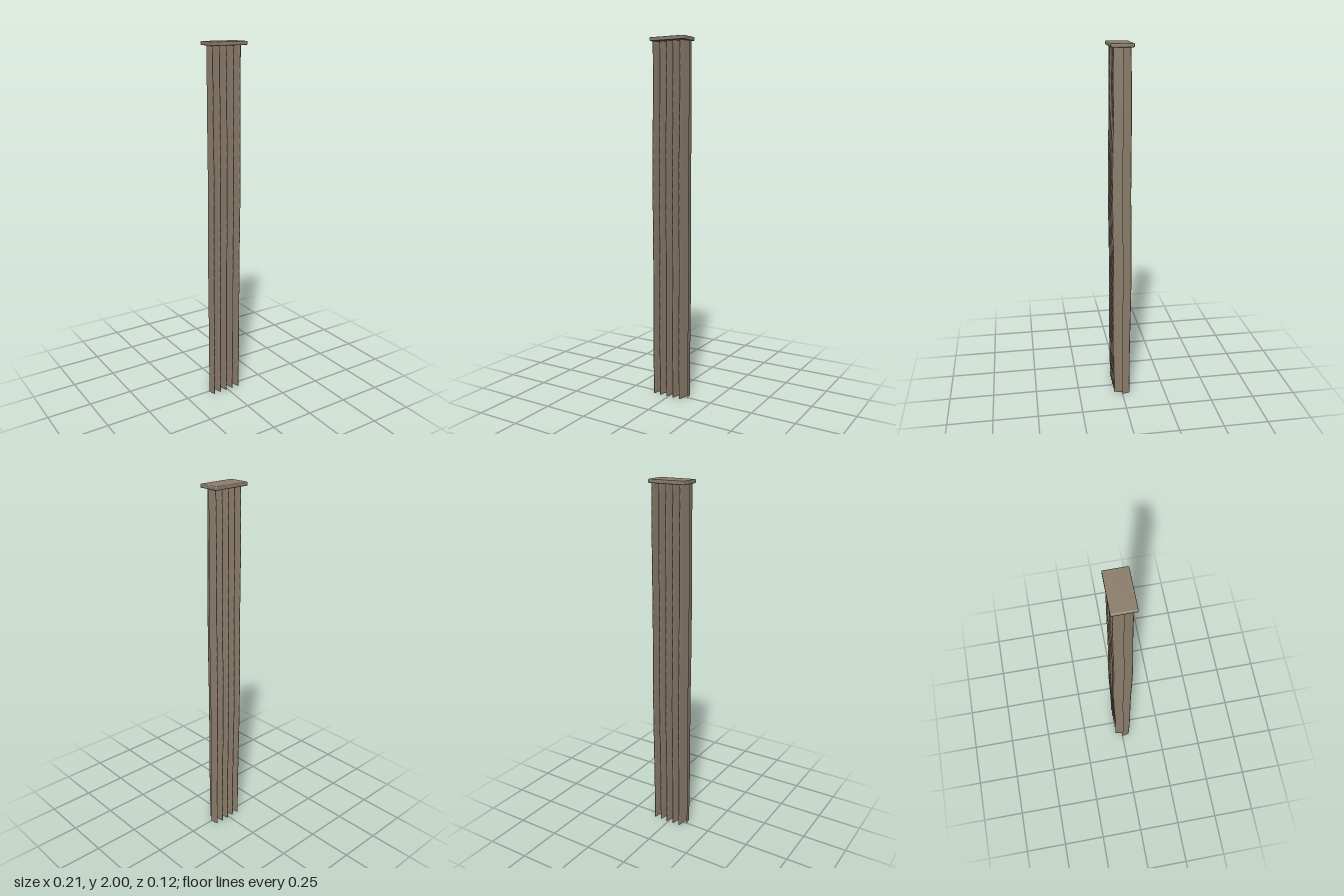
import * as THREE from 'three';
import { RoundedBoxGeometry } from 'three/addons/geometries/RoundedBoxGeometry.js';

const WIDTH = 0.208, HEIGHT = 1.985, FOLDS = 5;

// Depth of the pleated cloth: a sine across the width, swelling a little mid-height
function foldDepth(x, y) {
  const u = x / WIDTH + 0.5;
  const t = y / HEIGHT;
  const depth = 0.044 + 0.006 * Math.sin(Math.PI * t);
  const sway = 0.002 * Math.sin(t * Math.PI * 4);
  return depth * Math.sin(u * FOLDS * Math.PI * 2) + sway;
}

export function createModel() {
  const group = new THREE.Group();
  group.name = 'curtain';
  const material = new THREE.MeshStandardMaterial({ color: 0x8b7d6b, side: THREE.DoubleSide });

  // Pleated cloth hanging from the rail
  const cloth = new THREE.PlaneGeometry(WIDTH, HEIGHT, FOLDS * 16, 32);
  cloth.translate(0, HEIGHT / 2, 0);
  const pos = cloth.attributes.position;
  for (let i = 0; i < pos.count; i++) {
    pos.setZ(i, foldDepth(pos.getX(i), pos.getY(i)));
  }
  cloth.computeVertexNormals();
  const clothMesh = new THREE.Mesh(cloth, material);
  clothMesh.name = 'pleatedCloth';
  group.add(clothMesh);

  // Flat heading rail with softened edges
  const rail = new THREE.Mesh(new RoundedBoxGeometry(0.212, 0.02, 0.12, 3, 0.005), material);
  rail.position.y = 1.99;
  rail.name = 'topRail';
  group.add(rail);

  return group;
}
